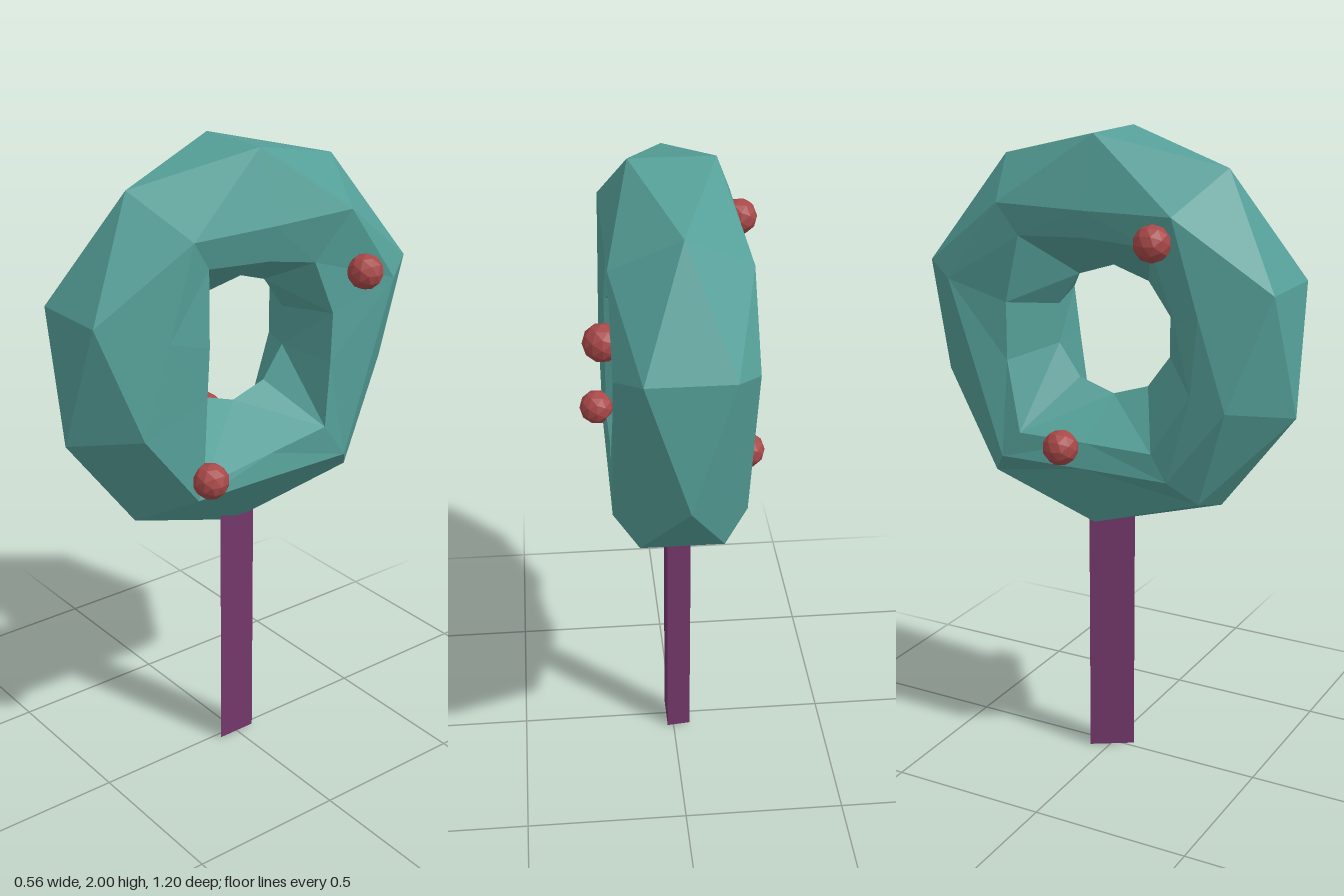
import * as THREE from 'three';

const N = 10, CY = 1.4;

// radii every 36 degrees, from the top towards +z: flat side crest, then the funnel edge of each side
const crestR = [0.39, 0.485, 0.39, 0.485, 0.475, 0.385, 0.48, 0.39, 0.485, 0.485];
const leftFunnel = {
  r: [0.28, 0.37, 0.24, 0.25, 0.43, 0.31, 0.34, 0.235, 0.25, 0.3],
  x: [0.17, 0.175, 0.19, 0.19, 0.19, 0.19, 0.2, 0.19, 0.18, 0.165],
};
const rightFunnel = {
  r: [0.31, 0.37, 0.31, 0.37, 0.38, 0.31, 0.38, 0.29, 0.29, 0.37],
  x: [0.185, 0.19, 0.19, 0.2, 0.19, 0.18, 0.19, 0.17, 0.17, 0.19],
};

function point(k, r, x) {
  const t = Math.PI / 2 - (k * 2 * Math.PI) / N;
  return [x, CY + r * Math.sin(t), r * Math.cos(t)];
}

// outer rim: single points and pairs alternate, with a shifted stretch at the bottom
function rim(k, s) {
  const i = k % N;
  if (i === 4) return s > 0 ? [0, 0.9, 0.37] : [-0.125, 0.935, 0.35];
  if (i === 5) return s > 0 ? [0, 0.79, 0] : [-0.125, 0.82, 0];
  if (i === 6) return [s * 0.125, 0.935, -0.35];
  return i % 2 ? point(i, 0.63, 0) : point(i, 0.6, s * 0.125);
}

function ringGeometry() {
  const pos = [];
  const tri = (a, b, c, flip) => pos.push(...a, ...(flip ? c : b), ...(flip ? b : c));

  // each side: rim, crest, funnel edge, hole
  for (const s of [1, -1]) {
    const funnel = s > 0 ? leftFunnel : rightFunnel;
    const rings = [
      (k) => rim(k, s),
      (k) => point(k, crestR[k % N], s * 0.2),
      (k) => point(k, funnel.r[k % N], s * funnel.x[k % N]),
      (k) => point(k, 0.2, 0),
    ];
    for (let j = 0; j < 3; j++) {
      const A = rings[j], B = rings[j + 1];
      for (let k = 0; k < N; k++) {
        const a = A(k), b = A(k + 1), c = B(k + 1), d = B(k);
        if (k % 2 === 0) {
          tri(a, b, c, s < 0);
          tri(a, c, d, s < 0);
        } else {
          tri(a, b, d, s < 0);
          tri(b, c, d, s < 0);
        }
      }
    }
  }
  // faces between the two rims
  for (let k = 0; k < N; k++) {
    const l0 = rim(k, -1), r0 = rim(k, 1), l1 = rim(k + 1, -1), r1 = rim(k + 1, 1);
    if (l0[0] !== r0[0]) tri(l0, l1, r0);
    if (l1[0] !== r1[0]) tri(l1, r1, r0);
  }
  const g = new THREE.BufferGeometry();
  g.setAttribute('position', new THREE.Float32BufferAttribute(pos, 3));
  g.computeVertexNormals();
  return g;
}

export function createModel() {
  const group = new THREE.Group();
  const mat = (color) => new THREE.MeshStandardMaterial({ color, flatShading: true });
  const add = (name, geometry, material) => {
    const mesh = new THREE.Mesh(geometry, material);
    mesh.name = name;
    group.add(mesh);
    return mesh;
  };

  // faceted ring standing upright
  add('ring', ringGeometry(), mat(0x559f98));

  // three-sided stick
  const section = new THREE.Shape([
    new THREE.Vector2(0.02, -0.065),
    new THREE.Vector2(0.02, 0.065),
    new THREE.Vector2(-0.055, 0.057),
  ]);
  const stick = new THREE.ExtrudeGeometry(section, { depth: 0.86, bevelEnabled: false });
  stick.rotateX(-Math.PI / 2);
  add('stick', stick, mat(0x74386a));

  // berries on both sides of the ring
  const berry = new THREE.IcosahedronGeometry(0.055, 1);
  const red = mat(0xa84848);
  const spots = [[0.22, 1.6, -0.325], [0.22, 1.08, 0.25], [-0.225, 1.72, 0.24], [-0.225, 1.08, -0.06]];
  spots.forEach((p, i) => add('berry' + (i + 1), berry, red).position.set(...p));

  return group;
}
